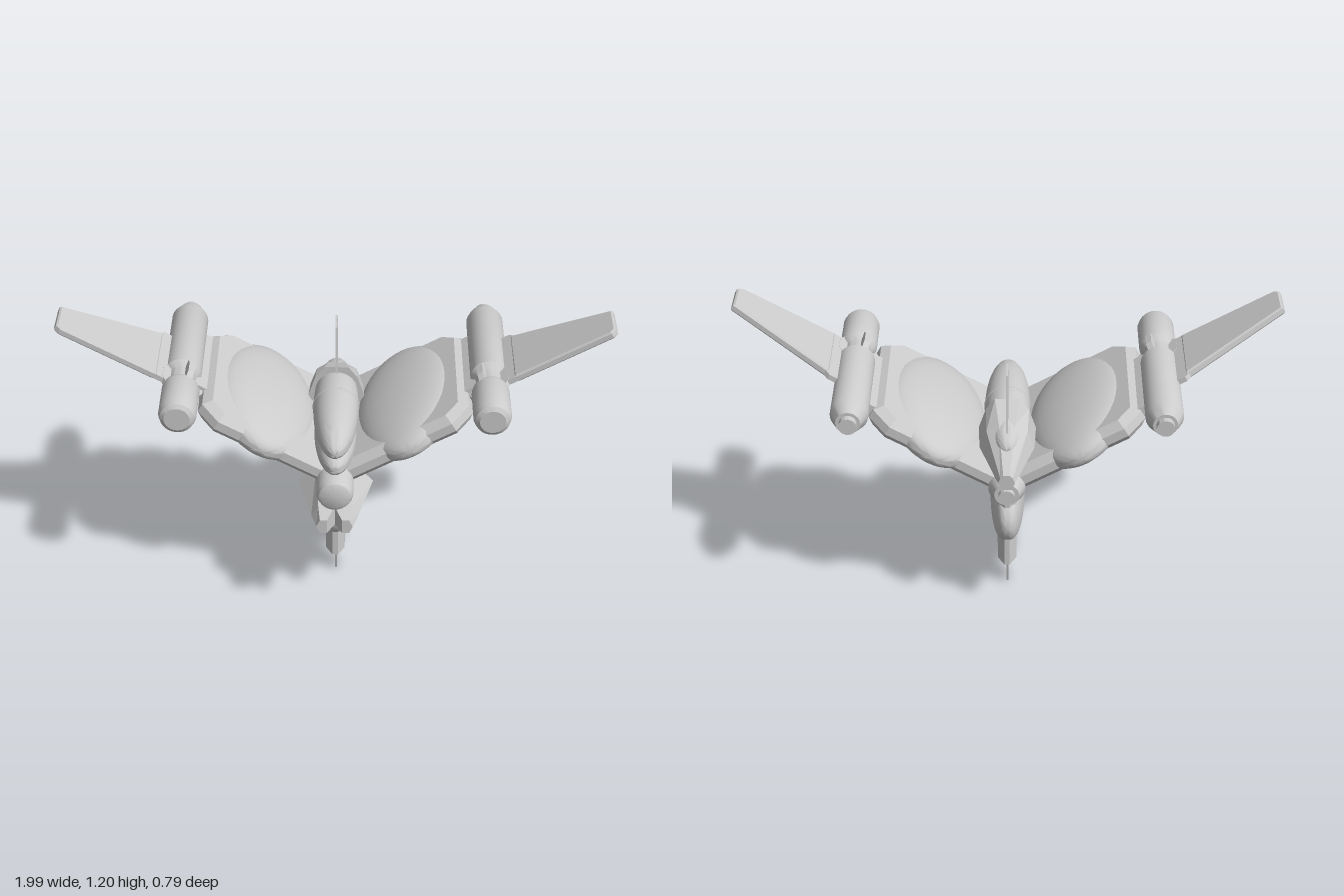
import * as THREE from 'three';
import { toCreasedNormals } from 'three/addons/utils/BufferGeometryUtils.js';

const HUB = 0.62; // height of the axis the three arms radiate from

export function createModel() {
  const root = new THREE.Group();
  root.name = 'starfighter';
  const grey = new THREE.MeshStandardMaterial({ color: 0xcccccc });

  const add = (parent, name, geometry, x = 0, y = 0, z = 0) => {
    const mesh = new THREE.Mesh(geometry, grey);
    mesh.name = name;
    mesh.position.set(x, y, z);
    parent.add(mesh);
    return mesh;
  };

  // Turned body along z; profile is [z, radius] from back to front
  const turned = (profile) => {
    const g = new THREE.LatheGeometry(profile.map(([z, r]) => new THREE.Vector2(r, z)), 28);
    g.rotateX(Math.PI / 2);
    return toCreasedNormals(g, 0.5);
  };

  // Plate lying in the z/y plane, outline given as [z, y], with bevelled edges
  const plate = (outline, thickness, bevel = 0) => {
    const shape = new THREE.Shape(outline.map(([z, y]) => new THREE.Vector2(z, y)));
    const depth = Math.max(thickness - 2 * bevel, 0.002);
    const g = new THREE.ExtrudeGeometry(shape, {
      depth, bevelEnabled: bevel > 0, bevelThickness: bevel,
      bevelSize: bevel, bevelOffset: -bevel, bevelSegments: 1,
    });
    g.translate(0, 0, -depth / 2);
    return g.rotateY(-Math.PI / 2);
  };

  // Rounded pod; power below 1 makes the flanks fuller
  const pod = (rx, ry, rz, power = 1) => {
    const g = new THREE.SphereGeometry(1, 36, 24).rotateX(Math.PI / 2);
    const p = g.attributes.position;
    const full = (v) => Math.sign(v) * Math.abs(v) ** power;
    for (let i = 0; i < p.count; i++) {
      p.setXYZ(i, full(p.getX(i)) * rx, p.getY(i) * ry, p.getZ(i) * rz);
    }
    return toCreasedNormals(g, 1.2);
  };

  // Faceted hull through cross-sections running from back to front;
  // each ring lists [x, y] counter-clockwise as seen from the front
  const loft = (sections) => {
    const out = [];
    const n = sections[0].ring.length;
    const at = (s, i) => [...sections[s].ring[i % n], sections[s].z];
    for (let s = 0; s < sections.length - 1; s++) {
      for (let i = 0; i < n; i++) {
        const a = at(s, i), b = at(s, i + 1), c = at(s + 1, i + 1), d = at(s + 1, i);
        out.push(...a, ...b, ...c, ...a, ...c, ...d);
      }
    }
    const last = sections.length - 1;
    for (let i = 1; i < n - 1; i++) {
      out.push(...at(0, 0), ...at(0, i + 1), ...at(0, i));
      out.push(...at(last, 0), ...at(last, i), ...at(last, i + 1));
    }
    const g = new THREE.BufferGeometry();
    g.setAttribute('position', new THREE.Float32BufferAttribute(out, 3));
    g.computeVertexNormals();
    return g;
  };

  // Arms are built along local +y and turned about the hub
  const arm = (name, angle) => {
    const g = new THREE.Group();
    g.name = name;
    g.position.y = HUB;
    g.rotation.z = angle;
    root.add(g);
    return g;
  };

  // Central engine tube
  add(root, 'centralEngine', turned([
    [-0.365, 0], [-0.365, 0.03], [-0.345, 0.03], [-0.345, 0.045], [-0.3, 0.067],
    [0.335, 0.067], [0.355, 0.058], [0.362, 0.045], [0.362, 0],
  ]), 0, HUB, 0);

  // Two upper arms with pod, nacelle and outer wing
  for (const [side, s] of [['left', -1], ['right', 1]]) {
    const a = arm(side + 'Arm', s * Math.PI / 3);
    add(a, 'armPlate', plate([
      [0.26, 0], [0.26, 0.49], [0.2, 0.56], [-0.24, 0.56], [-0.3, 0.49], [-0.3, 0],
    ], 0.09, 0.028));
    add(a, 'armPod', pod(0.083, 0.205, 0.315, 0.8), 0, 0.305, -0.025);
    add(a, 'nacellePylon', new THREE.BoxGeometry(0.05, 0.12, 0.34), 0, 0.58, -0.06);
    add(a, 'nacelle', turned([
      [-0.392, 0], [-0.392, 0.032], [-0.368, 0.032], [-0.368, 0.044], [-0.315, 0.068],
      [0.05, 0.068], [0.07, 0.05], [0.12, 0.05], [0.14, 0.064], [0.155, 0.068],
      [0.3, 0.068], [0.322, 0.061], [0.332, 0.046], [0.332, 0],
    ]), 0, 0.642, 0);

    // Small hexagonal fins around the nacelle neck
    for (let i = 0; i < 4; i++) {
      const fin = add(a, 'neckFin', plate([
        [0.155, 0.035], [0.155, 0.064], [0.13, 0.08], [0.075, 0.08], [0.05, 0.064], [0.05, 0.035],
      ], 0.022), 0, 0.642, 0);
      fin.rotation.z = i * Math.PI / 2;
    }

    add(a, 'wingRoot', plate([
      [0.14, 0.68], [0.14, 0.755], [-0.125, 0.755], [-0.14, 0.74], [-0.14, 0.68],
    ], 0.02));
    add(a, 'outerWing', plate([
      [0.14, 0.745], [0.14, 1.125], [0.125, 1.143], [0.005, 1.143], [-0.125, 0.745],
    ], 0.03, 0.006));
  }

  // Lower arm with pod and keel fin
  const lower = arm('lowerArm', Math.PI);
  add(lower, 'armPlate', plate([
    [0.2, 0], [0.2, 0.4], [0.07, 0.455], [-0.1, 0.455], [-0.235, 0.4], [-0.235, 0],
  ], 0.07, 0.025));
  add(lower, 'armPod', pod(0.065, 0.155, 0.25, 0.75), 0, 0.21, -0.015);
  add(lower, 'keelFin', plate([
    [0.065, 0.44], [0.02, 0.61], [0.01, 0.62], [-0.045, 0.62], [-0.055, 0.61], [-0.1, 0.44],
  ], 0.008));

  // Cockpit hull and canopy
  add(root, 'cockpitHull', pod(0.078, 0.075, 0.24), 0, 0.715, 0.09);
  add(root, 'canopy', pod(0.084, 0.086, 0.3), 0, 0.772, 0.01);
  const rim = add(root, 'canopyRim', new THREE.TorusGeometry(0.083, 0.004, 6, 32), 0, 0.772, 0.01);
  rim.scale.y = 1.02;

  // Faceted hull behind the canopy
  const rearRing = (w, bottom, mid, top, ridge) => [
    [-w * 0.6, bottom], [w * 0.6, bottom], [w, mid], [w * 0.75, top],
    [ridge, top + ridge], [-ridge, top + ridge], [-w * 0.75, top], [-w, mid],
  ];
  add(root, 'rearHull', loft([
    { z: -0.37, ring: rearRing(0.03, 0.66, 0.69, 0.71, 0.012) },
    { z: -0.2, ring: rearRing(0.1, 0.65, 0.73, 0.8, 0.03) },
    { z: -0.1, ring: rearRing(0.105, 0.65, 0.75, 0.83, 0.045) },
  ]));
  add(root, 'dorsalFin', plate([
    [-0.09, 0.84], [-0.125, 1.035], [-0.14, 1.05], [-0.185, 1.05], [-0.2, 1.035], [-0.25, 0.78],
  ], 0.008));

  // Twin-pronged chin below the engine
  const prongRing = (inner, shoulder, outer, h) => [
    [inner, 0.515 - h], [shoulder, 0.515 - h], [outer, 0.515], [shoulder, 0.515 + h], [inner, 0.515 + h],
  ];
  const prongs = [
    { z: 0.12, ring: prongRing(0, 0.07, 0.14, 0.076) },
    { z: 0.33, ring: prongRing(0, 0.06, 0.086, 0.041) },
    { z: 0.395, ring: prongRing(0.027, 0.053, 0.066, 0.029) },
  ];
  const mirrored = prongs.map(({ z, ring }) => ({ z, ring: ring.map(([x, y]) => [-x, y]).reverse() }));
  add(root, 'leftProng', loft(prongs));
  add(root, 'rightProng', loft(mirrored));

  return root;
}
